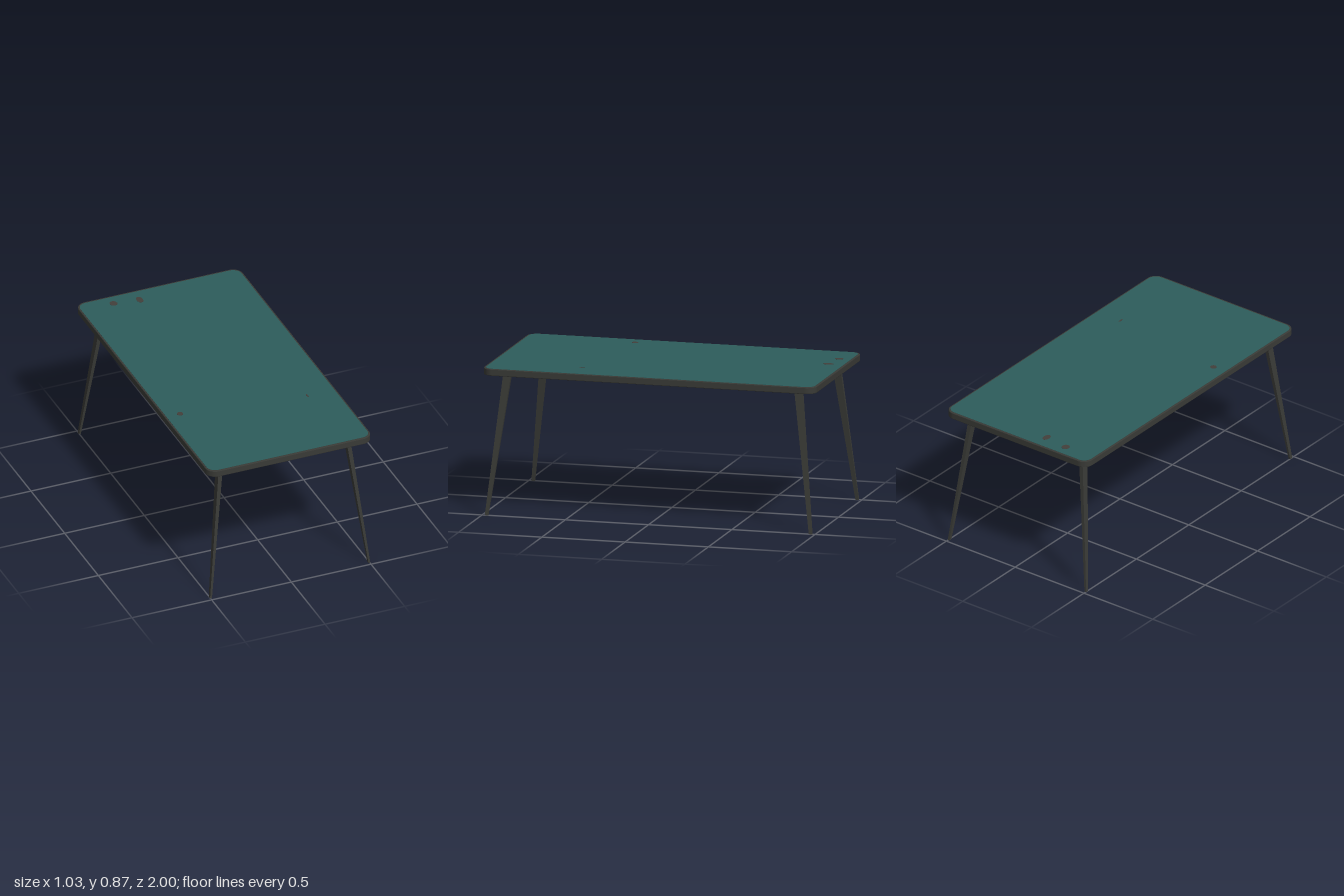
import * as THREE from 'three';

const frameMaterial = new THREE.MeshStandardMaterial({ name: 'charcoal frame', color: 0x393a36 });
const topMaterial = new THREE.MeshStandardMaterial({ name: 'teal surface', color: 0x2d5c5b });
const wearMaterial = new THREE.MeshStandardMaterial({ name: 'worn brown', color: 0x433f3b });

const TOP_Y = 0.868;
const UNDER_Y = 0.828;

// Rounded rectangle with half sizes w and d
function roundedRect(w, d, r) {
  const s = new THREE.Shape();
  s.absarc(w - r, d - r, r, 0, Math.PI / 2);
  s.absarc(-w + r, d - r, r, Math.PI / 2, Math.PI);
  s.absarc(-w + r, -d + r, r, Math.PI, Math.PI * 1.5);
  s.absarc(w - r, -d + r, r, Math.PI * 1.5, Math.PI * 2);
  s.closePath();
  return s;
}

function addMesh(group, name, geometry, material) {
  const mesh = new THREE.Mesh(geometry, material);
  mesh.name = name;
  group.add(mesh);
  return mesh;
}

// Tapered, splayed rectangular leg reaching from the slab to the floor
function legGeometry(sx, sz) {
  const g = new THREE.BoxGeometry(1, 1, 1);
  const p = g.attributes.position;
  for (let i = 0; i < p.count; i++) {
    const t = p.getY(i) + 0.5;
    const mix = (a, b) => a + (b - a) * t;
    p.setXYZ(
      i,
      sx * mix(0.497, 0.398) + p.getX(i) * mix(0.012, 0.026),
      t * (UNDER_Y + 0.004),
      sz * mix(0.973, 0.873) + p.getZ(i) * mix(0.02, 0.048)
    );
  }
  g.computeVertexNormals();
  return g;
}

export function createModel() {
  const model = new THREE.Group();
  model.name = 'table';

  // Slab with softened edges
  const bevel = 0.004;
  const slab = new THREE.ExtrudeGeometry(roundedRect(0.515 - bevel, 1 - bevel, 0.058), {
    depth: TOP_Y - UNDER_Y - 2 * bevel,
    bevelThickness: bevel, bevelSize: bevel, bevelSegments: 2, curveSegments: 8
  });
  slab.rotateX(-Math.PI / 2);
  slab.translate(0, UNDER_Y + bevel, 0);
  addMesh(model, 'tabletopSlab', slab, frameMaterial);

  // Coloured surface inset from the rim
  const surface = new THREE.ExtrudeGeometry(roundedRect(0.505, 0.988, 0.052), {
    depth: 0.002, bevelEnabled: false, curveSegments: 8
  });
  surface.rotateX(-Math.PI / 2);
  addMesh(model, 'tabletopSurface', surface, topMaterial).position.y = TOP_Y - 0.001;

  // Small worn patches: x, z, half width, half depth
  const patches = [
    [-0.305, -0.918, 0.023, 0.026],
    [-0.15, -0.897, 0.02, 0.032],
    [-0.42, 0.34, 0.019, 0.02],
    [0.335, 0.445, 0.005, 0.018]
  ];
  for (const [x, z, w, d] of patches) {
    const patch = addMesh(model, 'wornPatch', new THREE.CylinderGeometry(1, 1, 0.002, 9), wearMaterial);
    patch.scale.set(w, 1, d);
    patch.position.set(x, TOP_Y + 0.001, z);
  }

  // Four legs
  for (const sx of [1, -1]) {
    for (const sz of [1, -1]) {
      const name = (sz > 0 ? 'front' : 'back') + (sx > 0 ? 'Left' : 'Right') + 'Leg';
      addMesh(model, name, legGeometry(sx, sz), frameMaterial);
    }
  }
  return model;
}
